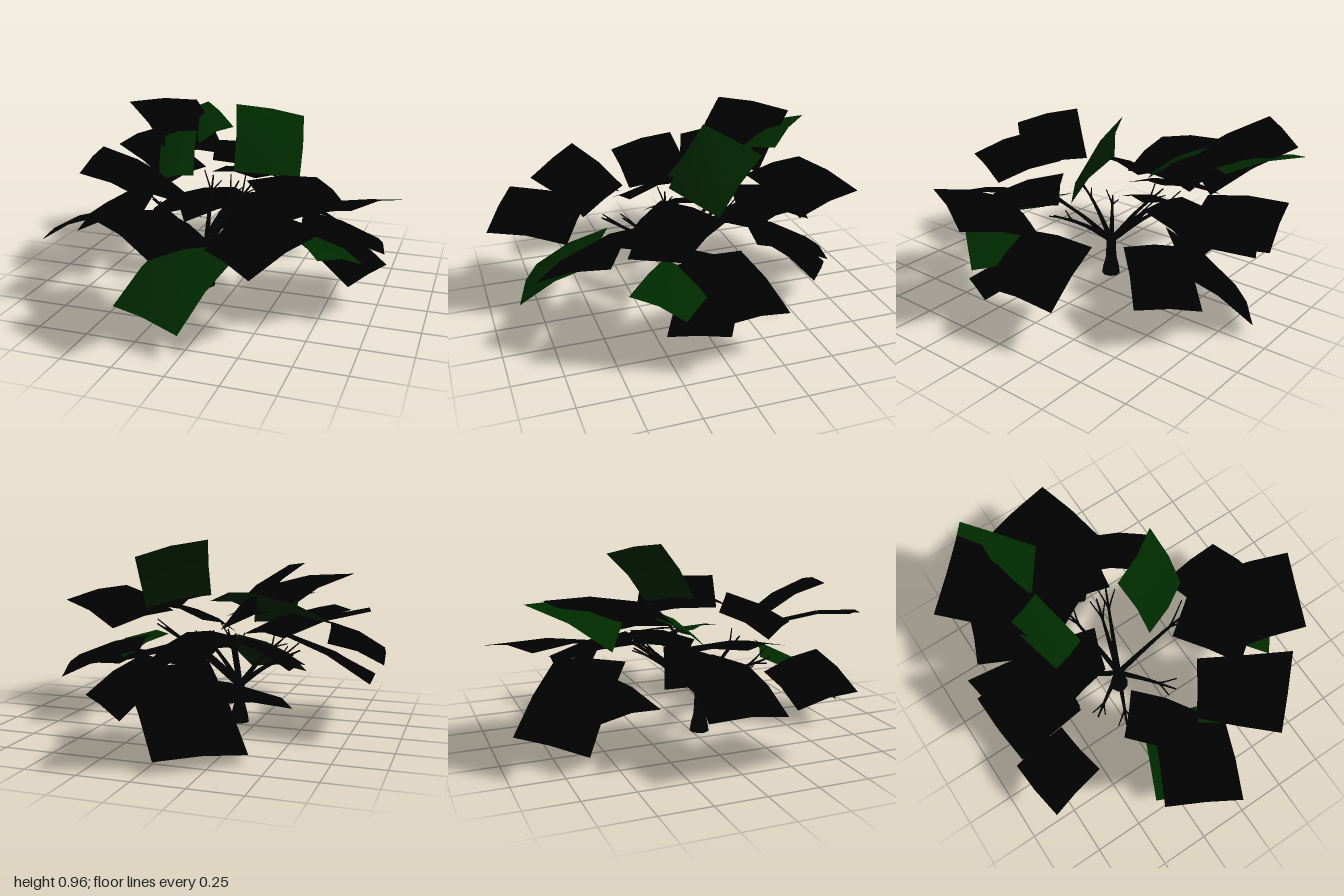
import * as THREE from 'three';

const paint = (name, color) => {
  const m = new THREE.MeshStandardMaterial({ color, side: THREE.DoubleSide });
  m.name = name;
  return m;
};

export function createModel() {
  const tree = new THREE.Group();
  tree.name = 'tree';
  const bark = paint('dark bark', 0x020101);
  const dark = paint('black foliage', 0x000000);
  const green = paint('deep green foliage', 0x002900);
  const V = (p) => new THREE.Vector3(...p);

  // Limb: a tube along a curve that tapers from r0 to r1
  function limb(name, points, r0, r1, sides = 7) {
    const curve = new THREE.CatmullRomCurve3(points.map(V));
    const steps = 8;
    const geo = new THREE.TubeGeometry(curve, steps, 1, sides, false);
    const pos = geo.attributes.position;
    const v = new THREE.Vector3();
    for (let i = 0; i < pos.count; i++) {
      const t = Math.floor(i / (sides + 1)) / steps;
      const c = curve.getPointAt(t);
      v.fromBufferAttribute(pos, i).sub(c).multiplyScalar(r0 + (r1 - r0) * t).add(c);
      pos.setXYZ(i, v.x, v.y, v.z);
    }
    geo.computeVertexNormals();
    const mesh = new THREE.Mesh(geo, bark);
    mesh.name = name;
    tree.add(mesh);
  }

  // Foliage card: four corners in order, gently arched in the middle
  function card(name, material, a, b, c, d, arch = 0.02) {
    const geo = new THREE.PlaneGeometry(1, 1, 2, 2);
    const pos = geo.attributes.position;
    const [A, B, C, D] = [a, b, c, d].map(V);
    const p = new THREE.Vector3(), q = new THREE.Vector3();
    const up = C.clone().sub(A).cross(D.clone().sub(B)).normalize();
    if (up.y < 0) up.negate();
    for (let i = 0; i < pos.count; i++) {
      const u = pos.getX(i) + 0.5, v = pos.getY(i) + 0.5;
      p.lerpVectors(A, B, u);
      q.lerpVectors(D, C, u);
      p.lerp(q, v).addScaledVector(up, arch * 4 * (u * (1 - u) + v * (1 - v)));
      pos.setXYZ(i, p.x, p.y, p.z);
    }
    // Wind the card so its front looks upward
    const n = B.clone().sub(A).cross(D.clone().sub(A));
    if (n.y < 0) geo.setIndex([...geo.index.array].reverse());
    geo.computeVertexNormals();
    const mesh = new THREE.Mesh(geo, material);
    mesh.name = name;
    tree.add(mesh);
  }

  // Trunk with a flared foot
  const profile = [[0, 0], [0.05, 0.005], [0.045, 0.04], [0.03, 0.1], [0.026, 0.19], [0.03, 0.22], [0, 0.24]];
  const trunk = new THREE.Mesh(
    new THREE.LatheGeometry(profile.map(([x, y]) => new THREE.Vector2(x, y)), 9), bark);
  trunk.name = 'trunk';
  trunk.position.set(-0.16, 0, 0.04);
  tree.add(trunk);

  // Branches fan out from the trunk top, each with two twigs
  const crown = [-0.16, 0.2, 0.04];
  const tips = [
    [-0.25, 0.5, -0.34], [0, 0.5, -0.32], [0.3, 0.5, 0.04], [0, 0.44, 0.34],
    [-0.31, 0.4, 0.36], [-0.4, 0.34, 0.22], [-0.5, 0.42, -0.06], [-0.08, 0.5, -0.28],
  ];
  tips.forEach((tip, i) => {
    const at = (t, lift) => crown.map((c, k) => c + (tip[k] - c) * t + (k === 1 ? lift : 0));
    limb('branch' + (i + 1), [crown, at(0.5, 0.02), tip], 0.016, 0.004);
    for (const s of [-1, 1]) {
      const end = at(0.95, 0.03 * s + 0.02);
      end[0] += s * 0.12 * (tip[2] - crown[2]);
      end[2] -= s * 0.12 * (tip[0] - crown[0]);
      limb('twig', [at(0.5, 0.02), at(0.7, 0.02), end], 0.007, 0.003, 5);
    }
  });

  // Front foliage
  card('frontUpperLeaf', dark, [-0.4, 0.81, 0.48], [-0.18, 0.73, 0.74], [0, 0.56, 0.52], [-0.22, 0.61, 0.26]);
  card('frontTipLeaf', dark, [-0.4, 0.61, 0.82], [-0.06, 0.52, 0.99], [0.1, 0.47, 0.63], [-0.22, 0.55, 0.45]);
  card('frontSideLeaf', dark, [0.01, 0.4, 0.52], [0.32, 0.41, 0.82], [0.58, 0.56, 0.53], [0.16, 0.54, 0.29]);
  card('frontLowGreenLeaf', green, [-0.37, 0.15, 0.72], [0.01, 0.13, 0.87], [0.155, 0.37, 0.5], [-0.22, 0.38, 0.35], 0.025);

  // Left (+x) foliage
  card('tallGreenLeaf', green, [-0.04, 0.96, -0.12], [0.27, 0.88, -0.31], [0.31, 0.6, -0.08], [0.01, 0.66, 0.08]);
  card('leftUpperLeaf', dark, [0.1, 0.64, 0.15], [0.4, 0.62, -0.08], [0.62, 0.56, 0.2], [0.33, 0.53, 0.43]);
  card('leftTipLeaf', dark, [0.87, 0.6, 0.09], [0.68, 0.65, 0.48], [0.33, 0.53, 0.35], [0.51, 0.48, -0.07]);
  card('leftBackLeaf', dark, [0.3, 0.4, -0.2], [0.7, 0.25, -0.29], [0.78, 0.3, 0.06], [0.38, 0.42, 0.16]);
  card('leftLowGreenLeaf', green, [0.3, 0.42, 0.2], [0.47, 0.31, 0.0], [0.7, 0.3, 0.22], [0.53, 0.38, 0.44]);
  card('leftLowLeaf', dark, [0.65, 0.21, 0.3], [0.79, 0.24, 0.04], [0.5, 0.37, -0.14], [0.36, 0.34, 0.12], 0.01);

  // Back foliage
  card('backTipLeaf', dark, [-0.42, 0.57, -0.86], [0.03, 0.51, -1.0], [0.14, 0.45, -0.6], [-0.3, 0.55, -0.47]);
  card('backInnerLeaf', dark, [0.01, 0.52, -0.29], [-0.26, 0.52, -0.34], [-0.22, 0.45, -0.72], [0.08, 0.41, -0.68]);
  card('backSideLeaf', dark, [0.16, 0.18, -0.75], [0.43, 0.235, -0.55], [0.22, 0.41, -0.33], [-0.03, 0.37, -0.5]);
  card('backLowLeaf', dark, [-0.4, 0.04, -0.61], [-0.06, 0.06, -0.9], [0.19, 0.36, -0.62], [-0.12, 0.4, -0.34]);
  card('backRightLowLeaf', dark, [-0.6, 0.27, -0.62], [-0.27, 0.3, -0.78], [-0.05, 0.33, -0.43], [-0.4, 0.23, -0.26]);

  // Right (-x) foliage
  card('backRightHighLeaf', dark, [-0.83, 0.85, -0.51], [-0.53, 0.82, -0.83], [-0.24, 0.58, -0.52], [-0.48, 0.65, -0.22]);
  card('backRightGreenLeaf', green, [-0.785, 0.64, -0.61], [-0.48, 0.8, -0.9], [-0.22, 0.72, -0.61], [-0.36, 0.66, -0.43]);
  card('rightGreenLeaf', green, [-0.46, 0.53, -0.06], [-0.28, 0.56, -0.11], [-0.36, 0.74, -0.38], [-0.55, 0.7, -0.33]);
  card('rightMidLeaf', dark, [-0.78, 0.66, -0.25], [-0.68, 0.7, -0.5], [-0.3, 0.54, -0.36], [-0.44, 0.49, -0.14]);
  card('rightUpperLeaf', dark, [-0.86, 0.65, -0.21], [-0.81, 0.6, 0.17], [-0.46, 0.49, 0.16], [-0.45, 0.5, -0.2]);
  card('rightTipLeaf', dark, [-0.87, 0.31, -0.22], [-0.84, 0.28, 0.18], [-0.46, 0.42, 0.16], [-0.44, 0.52, -0.2]);
  card('rightFrontLeaf', dark, [-0.88, 0.32, 0.2], [-0.84, 0.355, 0.53], [-0.55, 0.49, 0.48], [-0.59, 0.42, 0.18]);
  card('rightInnerLeaf', dark, [-0.5, 0.32, 0.08], [-0.5, 0.36, -0.28], [-0.17, 0.47, -0.16], [-0.24, 0.43, 0.05]);

  return tree;
}
